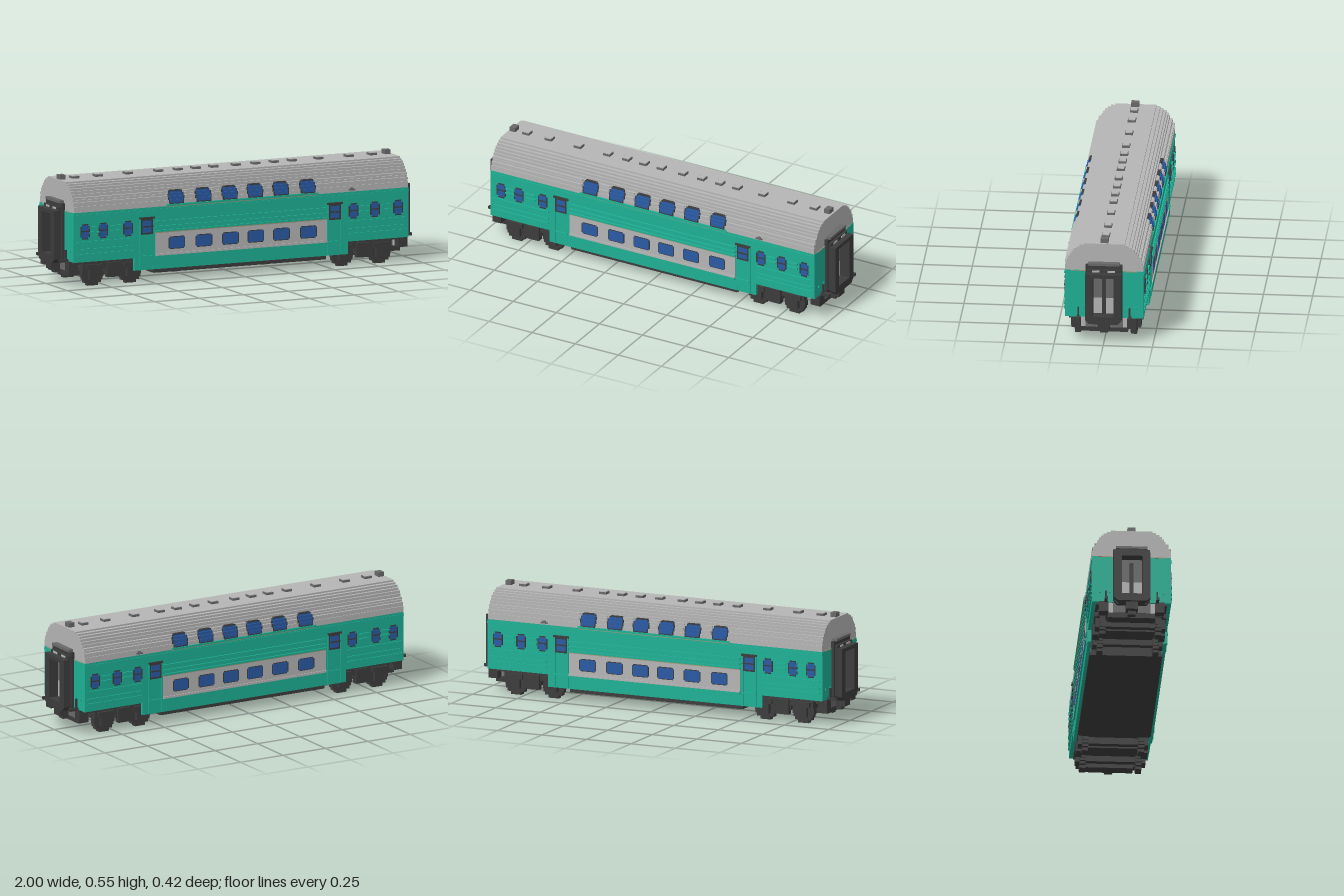
import * as THREE from 'three';

export function createModel() {
  const root = new THREE.Group();
  root.name = 'doubleDeckCarriage';
  const mat = (name, color) => {
    const m = new THREE.MeshStandardMaterial({ color });
    m.name = name;
    return m;
  };
  const green = mat('green', 0x1eb195);
  const light = mat('lightGrey', 0xb5b5b5);
  const mid = mat('midGrey', 0x6a6a6a);
  const dark = mat('darkGrey', 0x3c3c3c);
  const blue = mat('glassBlue', 0x2a5aa4);
  const tan = mat('tanStripe', 0xa39a78);

  // Box given by its extents on each axis
  const box = (name, m, x0, x1, y0, y1, z0, z1, parent = root) => {
    const mesh = new THREE.Mesh(new THREE.BoxGeometry(Math.abs(x1 - x0), y1 - y0, Math.abs(z1 - z0)), m);
    mesh.position.set((x0 + x1) / 2, (y0 + y1) / 2, (z0 + z1) / 2);
    mesh.name = name;
    parent.add(mesh);
    return mesh;
  };
  // Box centred on x with a width, sitting on one side wall (s = +1 or -1)
  const onSide = (name, m, s, x, w, y0, y1, z0, z1) =>
    box(name, m, x - w / 2, x + w / 2, y0, y1, s * z0, s * z1);

  // Body shell, with open wells for the bogies behind the door skirts
  box('body', green, -0.94, 0.94, 0.13, 0.385, -0.2, 0.2);
  box('lowerBody', green, -0.48, 0.48, 0.066, 0.13, -0.2, 0.2);
  box('floorPan', dark, -0.48, 0.48, 0.045, 0.066, -0.185, 0.185);
  for (const e of [-1, 1]) {
    box('underframe', dark, e * 0.48, e * 0.93, 0.118, 0.13, -0.18, 0.18);
    box('wellWall', dark, e * 0.48, e * 0.485, 0.045, 0.13, -0.18, 0.18);
    for (const s of [-1, 1]) box('doorSkirt', green, e * 0.48, e * 0.6, 0.066, 0.13, s * 0.183, s * 0.2);
  }

  // Stepped roof: half width and the height at which each step ends
  const steps = [[0.2, 0.415], [0.195, 0.433], [0.188, 0.448], [0.181, 0.46], [0.173, 0.475],
    [0.165, 0.489], [0.155, 0.502], [0.141, 0.513], [0.125, 0.522], [0.105, 0.53]];
  const right = [];
  let y = 0.385;
  for (const [w, top] of steps) {
    right.push([w, y], [w, top]);
    y = top;
  }
  const outline = [...right, ...right.slice().reverse().map(([w, h]) => [-w, h])];
  const roofGeo = new THREE.ExtrudeGeometry(
    new THREE.Shape(outline.map(([w, h]) => new THREE.Vector2(w, h))), { depth: 1.875, bevelEnabled: false });
  roofGeo.rotateY(Math.PI / 2).translate(-0.9375, 0, 0);
  const roof = new THREE.Mesh(roofGeo, light);
  roof.name = 'roof';
  root.add(roof);

  // Roof vents: light lids on grey bases, solid grey at the two ends
  for (const x of [-0.84, -0.71, -0.54, -0.37, -0.26, -0.16, -0.06, 0.065, 0.175, 0.28, 0.38, 0.53, 0.7, 0.83]) {
    box('roofVent', mid, x - 0.02, x + 0.02, 0.528, 0.541, -0.02, 0.02);
    box('roofVentLid', light, x - 0.017, x + 0.017, 0.541, 0.544, -0.017, 0.017);
  }
  for (const x of [-0.915, 0.91]) box('endRoofVent', mid, x - 0.016, x + 0.016, 0.528, 0.553, -0.02, 0.02);

  const saloon = [-0.363, -0.21, -0.062, 0.08, 0.225, 0.376];
  const small = [-0.877, -0.775, -0.636, 0.63, 0.75, 0.88];
  // Stretches of roof side between the upper windows
  const gapEdges = [-0.937, ...saloon.flatMap(x => [x - 0.05, x + 0.05]), 0.937];
  for (const s of [-1, 1]) {
    // Lower deck panel and windows
    onSide('lowerPanel', light, s, 0, 0.96, 0.135, 0.255, 0.199, 0.203);
    onSide('lowerPanelSill', light, s, 0, 0.96, 0.135, 0.146, 0.199, 0.208);
    onSide('lowerPanelStripe', tan, s, 0, 0.96, 0.251, 0.256, 0.199, 0.205);
    for (const x of saloon) {
      onSide('lowerWindowFrame', dark, s, x, 0.094, 0.171, 0.221, 0.2, 0.2045);
      onSide('lowerWindowFrame', dark, s, x, 0.08, 0.164, 0.228, 0.2, 0.2045);
      onSide('lowerWindow', blue, s, x, 0.084, 0.168, 0.224, 0.2, 0.206);
    }
    // Upper deck windows follow the roof steps, outlined in dark
    for (const x of saloon) {
      [0.072, 0.08, 0.078, 0.064].forEach((w, i) => {
        const y0 = i ? steps[i - 1][1] : 0.399;
        onSide('upperWindowFrame', dark, s, x, w + 0.012, y0, steps[i][1], 0.165, steps[i][0] + 0.002);
        onSide('upperWindow', blue, s, x, w, y0, steps[i][1] + 0.001, 0.165, steps[i][0] + 0.004);
      });
      onSide('upperWindowSill', dark, s, x, 0.08, 0.395, 0.4, 0.19, 0.205);
      onSide('upperWindowVisor', dark, s, x, 0.06, 0.457, 0.463, 0.165, 0.187);
    }
    for (let i = 0; i < gapEdges.length; i += 2) {
      const mx = (gapEdges[i] + gapEdges[i + 1]) / 2, w = gapEdges[i + 1] - gapEdges[i];
      onSide('roofRib', light, s, mx, w, 0.428, 0.437, 0.18, 0.199);
      onSide('roofRib', light, s, mx, w, 0.45, 0.46, 0.17, 0.187);
    }
    onSide('roofFlap', mid, s, 0.62, 0.035, 0.392, 0.399, 0.19, 0.208);
    onSide('roofFlapTop', mid, s, 0.62, 0.018, 0.399, 0.406, 0.19, 0.205);
    // Gutter and long ribs
    onSide('gutter', green, s, 0.005, 0.85, 0.385, 0.395, 0.195, 0.21);
    onSide('gutterStripe', tan, s, 0.005, 0.85, 0.381, 0.385, 0.195, 0.206);
    onSide('cornice', green, s, 0, 1.88, 0.366, 0.374, 0.198, 0.203);
    for (const h of [0.305, 0.278, 0.256]) onSide('sideRib', green, s, 0, 0.96, h, h + 0.009, 0.198, 0.208);
    onSide('skirtRib', green, s, 0, 0.96, 0.126, 0.135, 0.198, 0.208);
    for (const e of [-1, 1])
      for (const h of [0.165, 0.19, 0.228])
        onSide('endRib', green, s, e * 0.765, 0.32, h, h + 0.008, 0.198, 0.206);
    // Small end windows with dark crossbar, hood and posts
    for (const x of small) {
      onSide('endWindow', blue, s, x, 0.044, 0.257, 0.314, 0.198, 0.203);
      onSide('endWindow', blue, s, x, 0.034, 0.251, 0.321, 0.198, 0.203);
      onSide('endWindowBar', dark, s, x, 0.05, 0.285, 0.291, 0.198, 0.206);
      onSide('endWindowHood', dark, s, x, 0.034, 0.32, 0.325, 0.198, 0.206);
      onSide('endWindowSill', dark, s, x, 0.034, 0.247, 0.252, 0.198, 0.206);
      for (const e of [-1, 1]) onSide('endWindowPost', dark, s, x + e * 0.0235, 0.005, 0.258, 0.313, 0.198, 0.205);
    }
    // Slats between the end windows
    for (const x of [-0.826, -0.707, 0.69, 0.815])
      for (const h of [0.275, 0.3]) onSide('slat', green, s, x, 0.055, h, h + 0.009, 0.198, 0.208);
    // Entrance doors
    for (const x of [-0.53, 0.525]) {
      onSide('door', green, s, x, 0.066, 0.085, 0.335, 0.196, 0.202);
      for (const e of [-1, 1]) onSide('doorPost', green, s, x + e * 0.038, 0.009, 0.072, 0.335, 0.196, 0.204);
      onSide('doorLintel', dark, s, x, 0.085, 0.327, 0.337, 0.198, 0.208);
      onSide('doorWindowFrame', dark, s, x, 0.067, 0.248, 0.327, 0.2, 0.2035);
      onSide('doorWindow', blue, s, x, 0.051, 0.257, 0.319, 0.2, 0.205);
      onSide('doorWindowBar', dark, s, x, 0.066, 0.285, 0.292, 0.2, 0.208);
      onSide('doorStep', green, s, x, 0.08, 0.132, 0.14, 0.198, 0.208);
    }
  }

  // Wheel disc built from blocky rows
  const wheel = (x, z, parent) => {
    const g = new THREE.Group();
    g.name = 'wheel';
    const n = 8, r = 0.06, h = (2 * r) / n;
    for (let i = 0; i < n; i++) {
      const c = -r + (i + 0.5) * h;
      const w = Math.sqrt(r * r - c * c);
      box('wheelRow', dark, -w, w, c - h / 2, c + h / 2, -0.015, 0.015, g);
    }
    g.position.set(x, r, z);
    parent.add(g);
  };

  // Bogies
  for (const [x0, x1] of [[-0.812, -0.6], [0.59, 0.8]]) {
    const bogie = new THREE.Group();
    bogie.name = 'bogie';
    root.add(bogie);
    const c = (x0 + x1) / 2;
    for (const x of [x0, x1]) {
      box('axle', dark, x - 0.015, x + 0.015, 0.045, 0.075, -0.13, 0.13, bogie);
      for (const s of [-1, 1]) {
        wheel(x, s * 0.142, bogie);
        box('axleBox', dark, x - 0.028, x + 0.028, 0.035, 0.085, s * 0.155, s * 0.178, bogie);
        box('axleSpring', dark, x - 0.045, x + 0.045, 0.085, 0.11, s * 0.155, s * 0.182, bogie);
      }
    }
    box('bolster', dark, c - 0.04, c + 0.04, 0.06, 0.125, -0.165, 0.165, bogie);
    for (const s of [-1, 1]) {
      box('sideFrame', dark, x0 - 0.06, x1 + 0.06, 0.085, 0.125, s * 0.13, s * 0.168, bogie);
      box('springPack', dark, c - 0.035, c + 0.035, 0.04, 0.115, s * 0.15, s * 0.182, bogie);
    }
  }

  // Gangway frame section: rectangle with a doorway hole
  const frame = (hw, top, depth) => {
    const shape = new THREE.Shape([[-hw, 0.135], [-hw + 0.02, 0.115], [hw - 0.02, 0.115], [hw, 0.135], [hw, top], [-hw, top]]
      .map(p => new THREE.Vector2(...p)));
    shape.holes.push(new THREE.Path([[-0.053, 0.155], [-0.053, 0.365], [0.053, 0.365], [0.053, 0.155]]
      .map(p => new THREE.Vector2(...p))));
    return new THREE.ExtrudeGeometry(shape, { depth, bevelEnabled: false }).rotateY(Math.PI / 2);
  };

  // Carriage end: gangway, coupler and buffers, built for +x and turned for -x
  for (const s of [-1, 1]) {
    const end = new THREE.Group();
    end.name = 'carriageEnd';
    end.rotation.y = s > 0 ? 0 : Math.PI;
    root.add(end);
    for (const [hw, top, x, d] of [[0.093, 0.42, 0.935, 0.02], [0.083, 0.4, 0.955, 0.015], [0.093, 0.385, 0.97, 0.03]]) {
      const m = new THREE.Mesh(frame(hw, top, d), dark);
      m.position.x = x;
      m.name = 'gangwayFrame';
      end.add(m);
    }
    box('gangwayHood', mid, 0.93, 0.965, 0.42, 0.433, -0.08, 0.08, end);
    box('doorPanel', mid, 0.935, 0.946, 0.24, 0.365, -0.053, 0.053, end);
    box('doorLowerPanel', light, 0.935, 0.946, 0.155, 0.24, -0.053, 0.053, end);
    box('doorBar', dark, 0.94, 0.955, 0.155, 0.343, -0.01, 0.01, end);
    for (const z of [-1, 1]) {
      box('hoodSlot', light, 0.965, 0.973, 0.387, 0.397, z * 0.02, z * 0.058, end);
      box('endStripe', tan, 0.935, 0.9415, 0.381, 0.385, z * 0.095, z * 0.17, end);
      box('endStrip', light, 0.9, 0.932, 0.075, 0.13, z * 0.095, z * 0.118, end);
      box('bufferBeam', dark, 0.9, 0.95, 0.075, 0.13, z * 0.118, z * 0.165, end);
      box('bufferStem', dark, 0.94, 0.99, 0.125, 0.14, z * 0.124, z * 0.138, end);
      box('handrail', dark, 0.945, 0.955, 0.13, 0.187, z * 0.126, z * 0.134, end);
      box('lamp', green, 0.938, 0.945, 0.18, 0.19, z * 0.106, z * 0.116, end);
      box('lamp', green, 0.938, 0.945, 0.18, 0.19, z * 0.156, z * 0.166, end);
    }
    box('couplerPlate', mid, 0.88, 0.935, 0.075, 0.13, -0.095, 0.095, end);
    box('couplerBeam', dark, 0.87, 0.93, 0.05, 0.075, -0.12, 0.12, end);
    box('couplerHead', dark, 0.92, 0.985, 0.075, 0.125, -0.03, 0.03, end);
    box('couplerShank', dark, 0.9, 0.96, 0.055, 0.075, -0.02, 0.02, end);
  }
  return root;
}
